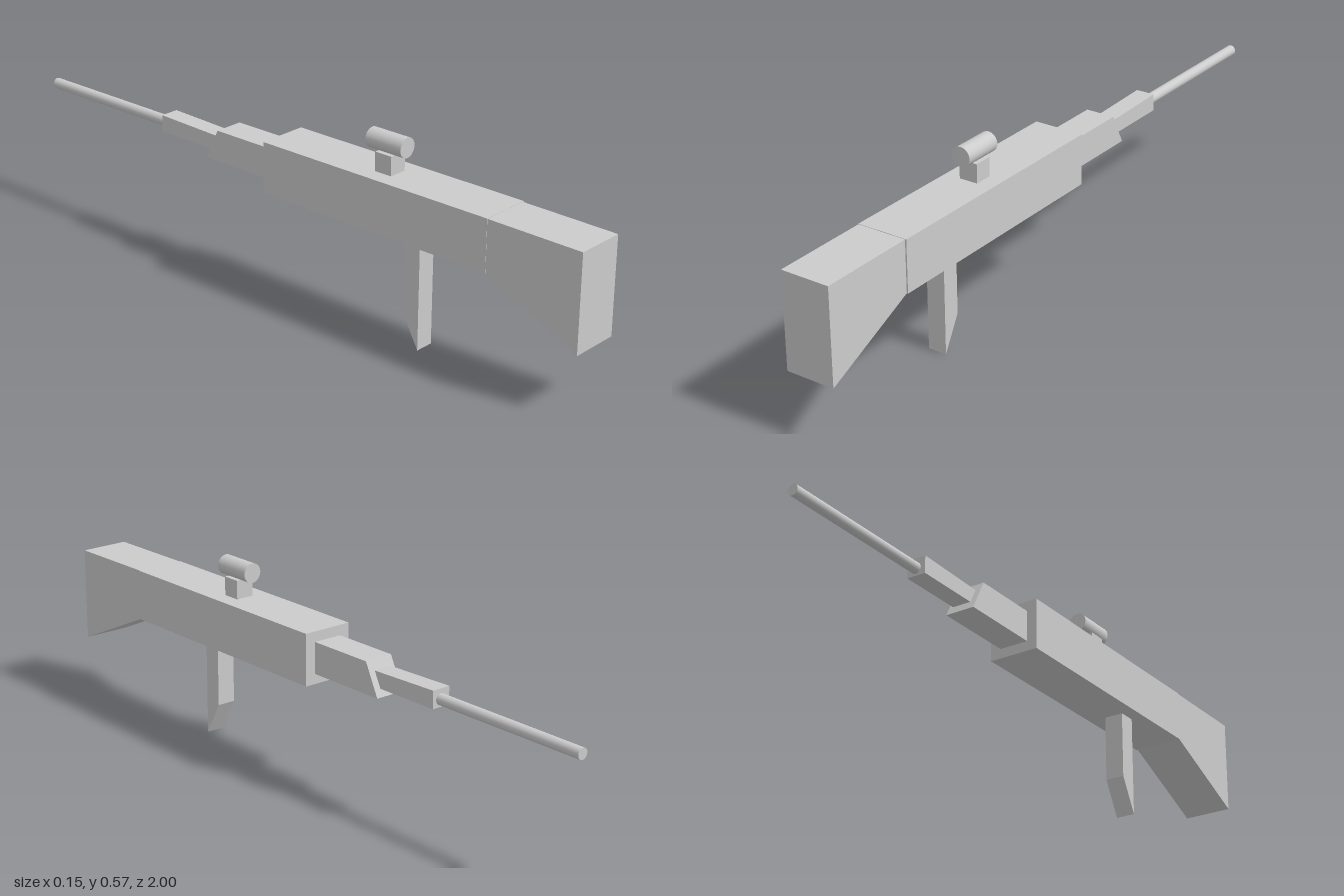
import * as THREE from 'three';

const grey = new THREE.MeshStandardMaterial({ color: 0xcccccc });

export function createModel() {
  const group = new THREE.Group();

  const add = (name, geometry) => {
    const mesh = new THREE.Mesh(geometry, grey);
    mesh.name = name;
    group.add(mesh);
  };

  // Side profile given as [z, y] corners, extruded from x0 to x1
  const slab = (name, x0, x1, profile) => {
    const shape = new THREE.Shape(profile.map(([z, y]) => new THREE.Vector2(z, y)));
    const geometry = new THREE.ExtrudeGeometry(shape, { depth: x1 - x0, bevelEnabled: false });
    add(name, geometry.rotateY(-Math.PI / 2).translate(x1, 0, 0));
  };

  // Round bar along z
  const rod = (name, radius, y, z0, z1) => {
    const geometry = new THREE.CylinderGeometry(radius, radius, z1 - z0, 32);
    add(name, geometry.rotateX(Math.PI / 2).translate(0, y, (z0 + z1) / 2));
  };

  // Body: wedge-shaped stock and straight receiver
  slab('stock', -0.075, 0.072, [[1, 0.177], [1, 0.457], [0.71, 0.459], [0.71, 0.309]]);
  slab('receiver', -0.076, 0.076, [[0.71, 0.309], [0.71, 0.46], [-0.06, 0.46], [-0.06, 0.309]]);

  // Fore-end with slanted nose, then the narrower barrel block
  slab('foreEnd', -0.045, 0.044, [[-0.06, 0.338], [-0.06, 0.43], [-0.267, 0.43], [-0.313, 0.338]]);
  slab('barrelBlock', -0.03, 0.027, [[-0.306, 0.36], [-0.283, 0.405], [-0.507, 0.411], [-0.507, 0.36]]);
  rod('barrel', 0.016, 0.382, -1, -0.505);

  // Magazine, hanging just below the receiver, with an angled foot
  slab('magazine', -0.05, 0.007, [[0.476, 0], [0.476, 0.296], [0.422, 0.296], [0.422, 0.1]]);

  // Sight on its mount
  slab('sightMount', -0.028, 0.028, [[0.355, 0.46], [0.355, 0.515], [0.3, 0.515], [0.3, 0.46]]);
  rod('sight', 0.0285, 0.54, 0.265, 0.386);

  return group;
}
